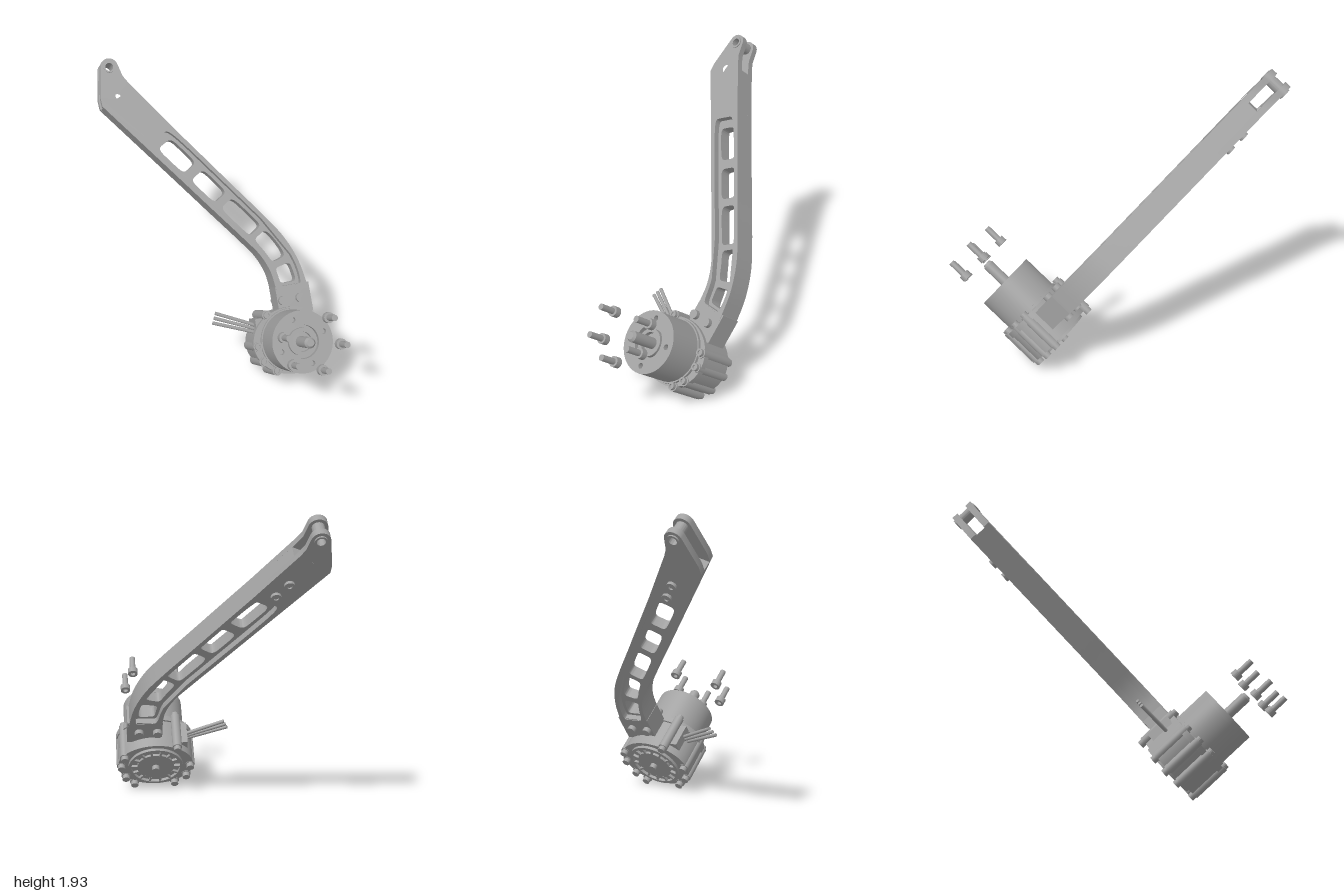
import * as THREE from 'three';
import { toCreasedNormals } from 'three/addons/utils/BufferGeometryUtils.js';

// Local frame: x across, y along the arm, z along the motor axis. The whole assembly is tilted back.
const TILT = -38 * Math.PI / 180;
const CX = 0.354, CY = 0.016; // motor axis
const V = (x, y) => new THREE.Vector2(x, y);

// Left and right edges of the arm from its upper straight part to the curved foot
const curve = pts => new THREE.CatmullRomCurve3(pts.map(p => new THREE.Vector3(p[0], p[1], 0)));
const LEFT = curve([[-0.385, 1.44], [-0.203, 1.205], [-0.022, 0.97], [0.16, 0.735], [0.25, 0.61], [0.3, 0.49], [0.318, 0.36]]);
const RIGHT = curve([[-0.19, 1.55], [-0.015, 1.317], [0.16, 1.083], [0.335, 0.85], [0.435, 0.7], [0.505, 0.53], [0.54, 0.34]]);

// Point on the arm: i runs 0..6 along it, f runs 0..1 across it
function armPoint(i, f) {
  const p = LEFT.getPoint(i / 6).lerp(RIGHT.getPoint(i / 6), f);
  return V(p.x, p.y);
}

// Rounded opening that follows the arm
function armOpening(i0, i1, f0, f1, power) {
  const pts = [];
  const bend = v => Math.sign(v) * Math.pow(Math.abs(v), power);
  for (let k = 0; k < 64; k++) {
    const a = k / 64 * Math.PI * 2;
    pts.push(armPoint((i0 + i1) / 2 + (i1 - i0) / 2 * bend(Math.cos(a)), (f0 + f1) / 2 + (f1 - f0) / 2 * bend(Math.sin(a))));
  }
  return new THREE.Path(pts);
}

function circlePath(x, y, r) {
  const p = new THREE.Path();
  p.absarc(x, y, r, 0, Math.PI * 2, true);
  return p;
}

// Arm outline, with either the rounded fork head or the cut-off slot floor
function armOutline(withHead) {
  const pts = [];
  for (let k = 0; k <= 30; k++) pts.push(armPoint(6 - k / 5, 0));
  if (withHead) {
    pts.push(V(-0.62, 1.743), V(-0.623, 1.8));
    for (let k = 0; k <= 12; k++) {
      const a = (168 - k * 13) * Math.PI / 180;
      pts.push(V(-0.532 + 0.058 * Math.cos(a), 1.993 + 0.058 * Math.sin(a)));
    }
    pts.push(V(-0.455, 1.925), V(-0.425, 1.875));
  } else {
    pts.push(V(-0.615, 1.737), V(-0.4, 1.84));
  }
  for (let k = 0; k <= 30; k++) pts.push(armPoint(k / 5, 1));
  return new THREE.Shape(pts);
}

export function createModel() {
  const metal = new THREE.MeshStandardMaterial({ color: 0xa0a0a0 });
  metal.name = 'grey metal';
  const root = new THREE.Group();
  root.name = 'motorArmAssembly';
  const tilted = new THREE.Group();
  tilted.name = 'tiltedAssembly';
  tilted.rotation.x = TILT;
  root.add(tilted);

  function add(name, geo, parent = tilted) {
    const m = new THREE.Mesh(geo, metal);
    m.name = name;
    parent.add(m);
    return m;
  }
  const extrude = (shape, z0, z1, segs = 24) => toCreasedNormals(
    new THREE.ExtrudeGeometry(shape, { depth: z1 - z0, bevelEnabled: false, curveSegments: segs }).translate(0, 0, z0), 0.6);
  const rod = (x, y, z0, z1, r, segs = 20, r2 = r) =>
    new THREE.CylinderGeometry(r2, r, z1 - z0, segs).rotateX(Math.PI / 2).translate(x, y, (z0 + z1) / 2);
  function tube(x, y, z0, z1, r, hole) {
    const s = new THREE.Shape();
    s.absarc(x, y, r, 0, Math.PI * 2, false);
    s.holes.push(circlePath(x, y, hole));
    return extrude(s, z0, z1, 32);
  }

  // Arm: recessed cheek plates either side of a windowed web
  const arm = new THREE.Group();
  arm.name = 'arm';
  tilted.add(arm);
  for (const [name, z0, z1] of [['frontCheek', 0.463, 0.507], ['backCheek', 0.345, 0.388]]) {
    const s = armOutline(true);
    s.holes.push(armOpening(0, 5.85, 0.13, 0.87, 0.22), circlePath(-0.532, 1.993, 0.036), circlePath(-0.496, 1.8, 0.028));
    add(name, extrude(s, z0, z1), arm);
  }
  const web = armOutline(false);
  for (const [a, b] of [[0.2, 1.0], [1.22, 1.96], [2.14, 3.1], [3.32, 4.65], [4.95, 5.7]])
    web.holes.push(armOpening(a, b, 0.24, 0.76, 0.4));
  add('web', extrude(web, 0.388, 0.463), arm);
  add('forkPin', tube(-0.532, 1.993, 0.335, 0.513, 0.038, 0.026), arm);
  for (const [x, y] of [[-0.39, 1.65], [-0.32, 1.555]]) {
    add('armBoltHead', tube(x, y, 0.325, 0.346, 0.032, 0.015), arm);
    add('armBoltCore', rod(x, y, 0.335, 0.346, 0.02), arm);
  }

  // Foot that joins the arm to the motor housing
  add('armFoot', new THREE.BoxGeometry(0.235, 0.2, 0.155).translate(0.43, 0.28, 0.4275), arm);
  for (const x of [0.346, 0.468]) for (const [z0, z1] of [[0.5, 0.535], [0.318, 0.35]])
    add('footBolt', rod(x, 0.285, z0, z1, 0.03), arm);

  // Motor housing: widened body, front flange and bolt posts
  const housing = new THREE.Group();
  housing.name = 'motorHousing';
  tilted.add(housing);
  const oval = (rx, ry) => {
    const s = new THREE.Shape();
    s.absellipse(CX, CY, rx, ry, 0, Math.PI * 2, false, 0);
    return s;
  };
  add('housingBody', extrude(oval(0.255, 0.21), 0.275, 0.49, 40), housing);
  add('housingFlange', extrude(oval(0.262, 0.222), 0.49, 0.53, 40), housing);
  const posts = [[-0.235, 0.017], [-0.212, -0.09], [-0.135, -0.165], [0.14, -0.17],
    [0.232, 0.017], [0.21, 0.11], [-0.14, 0.21], [0.2, -0.1]];
  for (const [dx, y] of posts) {
    add('boltPost', rod(CX + dx, y, 0.272, 0.538, 0.032), housing);
    add('frontBoltHead', tube(CX + dx, y, 0.538, 0.56, 0.024, 0.012), housing);
    add('frontBoltCore', rod(CX + dx, y, 0.538, 0.55, 0.014), housing);
    add('backBoltHead', rod(CX + dx, y, 0.242, 0.275, 0.025), housing);
  }

  // Back cover with a vented ring and a centre boss
  add('backRing', tube(CX, CY, 0.255, 0.276, 0.185, 0.165), housing);
  add('backCover', rod(CX, CY, 0.258, 0.276, 0.125, 40), housing);
  add('backBoss', rod(CX, CY, 0.225, 0.26, 0.025), housing);
  for (let k = 0; k < 14; k++) {
    const a = k / 14 * Math.PI * 2;
    add('ventRib', new THREE.BoxGeometry(0.05, 0.014, 0.018).translate(0.145, 0, 0)
      .rotateZ(a).translate(CX, CY, 0.266), housing);
  }

  // Motor can with a recessed hub, mounting holes and shaft
  const motor = new THREE.Group();
  motor.name = 'motor';
  tilted.add(motor);
  const face = new THREE.Shape();
  face.absarc(CX, CY, 0.204, 0, Math.PI * 2, false);
  face.holes.push(circlePath(CX, CY, 0.11));
  for (let k = 0; k < 4; k++) {
    const a = (k * 90 + 15) * Math.PI / 180;
    face.holes.push(circlePath(CX + 0.155 * Math.cos(a), CY + 0.155 * Math.sin(a), 0.018));
  }
  add('canFace', extrude(face, 0.75, 0.789, 40), motor);
  add('canBody', rod(CX, CY, 0.52, 0.751, 0.204, 64), motor);
  add('canCollar', rod(CX, CY, 0.53, 0.55, 0.213, 64), motor);
  add('hubRing', tube(CX, CY, 0.75, 0.782, 0.09, 0.065), motor);
  add('shaft', rod(CX, CY, 0.75, 0.945, 0.036, 28), motor);
  add('shaftTip', rod(CX, CY, 0.945, 0.962, 0.036, 28, 0.024), motor);

  // Three motor leads
  for (let k = -1; k <= 1; k++) {
    const path = new THREE.LineCurve3(
      new THREE.Vector3(-0.118 + k * 0.014, 0.25 + k * 0.03, 0.43),
      new THREE.Vector3(0.18, 0.115 + k * 0.024, 0.43));
    add('motorLead', new THREE.TubeGeometry(path, 1, 0.012, 10), motor);
    const cap = add('leadEnd', new THREE.CylinderGeometry(0.012, 0.012, 0.004, 10).rotateZ(Math.PI / 2 - 0.43), motor);
    cap.position.copy(path.v1);
  }
  // Lead exit block
  add('leadExit', new THREE.BoxGeometry(0.12, 0.13, 0.17).translate(0.2, 0.13, 0.41), housing);

  // Loose socket screws ahead of the motor, heads toward it
  for (const [x, y] of [[0.176, 0.085], [0.486, 0.155], [0.537, -0.024], [0.206, -0.095], [0.389, -0.162]]) {
    const screw = new THREE.Group();
    screw.name = 'looseScrew';
    tilted.add(screw);
    add('screwHead', tube(x, y, 0.978, 1.02, 0.034, 0.017), screw);
    add('screwSocket', rod(x, y, 1.0, 1.02, 0.02), screw);
    add('screwShank', rod(x, y, 1.015, 1.128, 0.02), screw);
  }
  return root;
}
